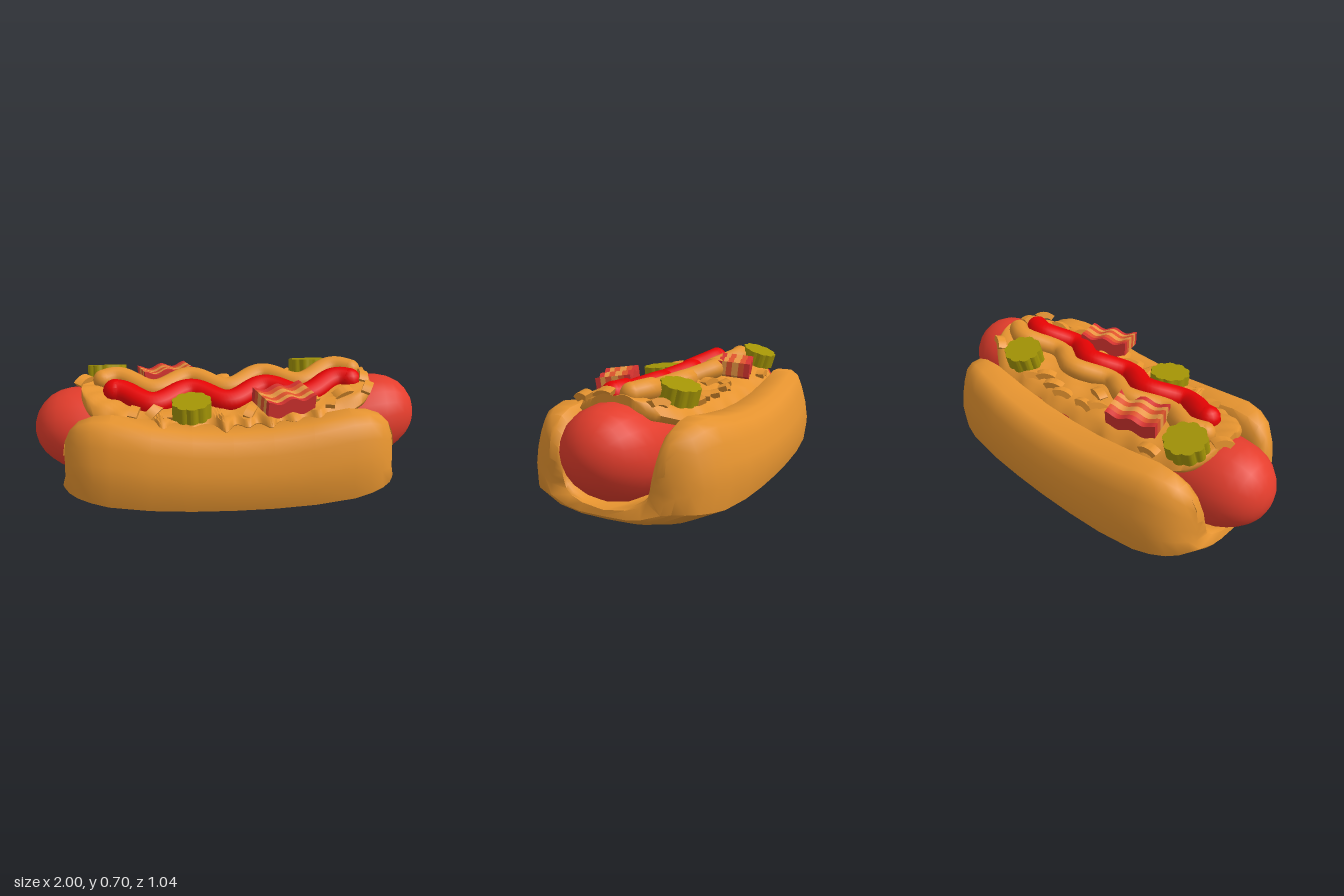
import * as THREE from 'three';
import { toCreasedNormals } from 'three/addons/utils/BufferGeometryUtils.js';

const mat = (name, color) => new THREE.MeshStandardMaterial({ name, color });

// Skin a row of closed rings lying along x; ends are closed by joining mirrored ring points.
function loft(rings, crease = 0.8) {
  const n = rings[0].length, pos = rings.flat(2), idx = [];
  for (let k = 0; k < rings.length - 1; k++) {
    for (let i = 0; i < n; i++) {
      const a = k * n + i, b = k * n + (i + 1) % n, c = a + n, d = b + n;
      idx.push(a, c, b, b, c, d);
    }
  }
  const last = (rings.length - 1) * n;
  for (let i = 0; i < n / 2 - 1; i++) {
    const p = i, q = i + 1, r = n - 2 - i, s = n - 1 - i;
    idx.push(p, q, r, p, r, s);
    idx.push(last + s, last + r, last + q, last + s, last + q, last + p);
  }
  const g = new THREE.BufferGeometry();
  g.setAttribute('position', new THREE.Float32BufferAttribute(pos, 3));
  g.setIndex(idx);
  return toCreasedNormals(g, crease);
}

// Bun: a U-shaped section, [x, half width, top, underside, trough]
const bunStations = [
  [0, 0.522, 0.475, 0.01, 0.06], [0.2, 0.519, 0.483, 0.01, 0.065], [0.4, 0.512, 0.508, 0.014, 0.08],
  [0.6, 0.492, 0.542, 0.026, 0.1], [0.69, 0.468, 0.538, 0.045, 0.115], [0.76, 0.435, 0.515, 0.066, 0.13],
  [0.81, 0.39, 0.47, 0.088, 0.14], [0.84, 0.335, 0.41, 0.108, 0.15], [0.853, 0.29, 0.34, 0.122, 0.152],
];
const outer = [[0, 0.01], [0.35, 0.02], [0.65, 0.08], [0.96, 0.225], [1, 0.45], [0.97, 0.63], [0.92, 0.8], [0.86, 0.94], [0.77, 1]];
const inner = [[0, 0], [0.11, 0.07], [0.175, 0.18], [0.205, 0.3], [0.215, 0.45], [0.222, 0.6], [0.232, 0.76], [0.25, 0.92], [0.28, 1]];

function bunGeometry() {
  const ring = ([x, w, top, low, trough]) => {
    // The upper lobes stop slightly short of the bottom lip
    const point = (y, z) => [x * (1 - 0.035 * THREE.MathUtils.smoothstep(y, 0.13, 0.22)), y, z];
    const out = outer.map(([u, v], i) => point(low + v * (top - low), i ? Math.max(u * w, inner[i][0] + 0.012) : 0));
    const inn = inner.map(([z, v]) => point(trough + v * (top - trough), z));
    const flip = ([a, b, c]) => [a, b, -c];
    return [
      ...out.slice(1).reverse().map(flip), ...out,
      ...inn.slice(1).reverse(), inn[0], ...inn.slice(1).map(flip),
    ];
  };
  const left = bunStations.slice(1).reverse().map(([x, ...r]) => [-x, ...r]);
  return loft([...left, ...bunStations].map(ring), 0.85);
}

// Sausage: rounded ends, bowed upward towards both tips
function sausageGeometry() {
  const rings = [], N = 30, S = 20;
  for (let k = 0; k <= N; k++) {
    const x = -Math.cos((k / N) * Math.PI);
    const e = Math.max(0, (Math.abs(x) - 0.7) / 0.3);
    const r = 0.23 * Math.pow(Math.max(0, 1 - Math.pow(e, 2.1)), 1 / 2.1);
    const y = 0.315 + 0.075 * Math.min(1, x * x * 1.25) + 0.02 * x;
    rings.push(Array.from({ length: S }, (_, i) => {
      const a = (i / S) * Math.PI * 2;
      return [x, y - r * Math.cos(a), r * Math.sin(a)];
    }));
  }
  return loft(rings, 1.2);
}

const cheeseY = (x, z) => 0.505 + 0.025 * x + 0.1 * x * x + 0.06 * Math.max(0, 1 - (z / 0.27) ** 2);

// Melted cheese bed whose front edge runs out into drips: [x, length]
const drips = [[-0.52, 0.03], [-0.33, 0.11], [-0.19, 0.04], [-0.03, 0.11], [0.08, 0.07], [0.19, 0.09], [0.31, 0.05], [0.43, 0.05]];
function cheeseGeometry() {
  const rings = [], N = 110, M = 18;
  for (let k = 0; k <= N; k++) {
    const x = -0.74 + (1.47 * k) / N;
    const fade = Math.sqrt(Math.max(0.02, 1 - Math.abs(x / 0.75) ** 8));
    const run = drips.reduce((sum, [c, l]) => sum + l * Math.exp(-(((x - c) / 0.036) ** 2)), 0);
    const front = (0.285 + run) * fade;
    const back = (-0.275 + 0.01 * Math.sin(x * 31)) * fade;
    const low = [], high = [];
    for (let i = 0; i <= M; i++) {
      const f = i / M, z = back + (front - back) * f;
      const round = Math.sqrt(Math.max(0, 1 - Math.abs(2 * f - 1) ** 8));
      const lumps = 0.009 * Math.sin(x * 34 + z * 20) * Math.sin(z * 36 + x * 9);
      const base = cheeseY(x, z) - 0.04 + 0.018 * THREE.MathUtils.smoothstep(z, 0.24, 0.32);
      low.push([x, base - (z < 0.25 ? 0.045 : 0.03) * round, z]);
      high.push([x, base + (0.04 + lumps) * round, z]);
    }
    rings.push([...low, ...high.reverse()]);
  }
  return loft(rings, 1);
}

// Pickle slice with a rim of rounded lobes
function pickleGeometry() {
  const pts = Array.from({ length: 100 }, (_, i) => {
    const a = (i / 100) * Math.PI * 2, r = 0.094 + 0.011 * Math.abs(Math.cos(a * 5));
    return new THREE.Vector2(r * Math.cos(a), r * 0.92 * Math.sin(a));
  });
  const g = new THREE.ExtrudeGeometry(new THREE.Shape(pts), { depth: 0.08, bevelEnabled: false });
  return toCreasedNormals(g.rotateX(-Math.PI / 2), 1);
}

// Small curved onion piece
function onionGeometry() {
  const s = new THREE.Shape();
  s.absarc(0, 0, 0.09, 0.95, 2.2, false);
  s.absarc(0, 0, 0.058, 2.2, 0.95, true);
  const g = new THREE.ExtrudeGeometry(s, { depth: 0.045, bevelEnabled: false, curveSegments: 6 });
  return toCreasedNormals(g.translate(0, -0.075, -0.022), 0.6);
}

// One lengthwise band of a wavy bacon rasher
function baconBand(width) {
  const up = [], down = [];
  for (let i = 0; i <= 24; i++) {
    const x = -0.13 + (0.26 * i) / 24, y = 0.011 * Math.cos(x * 48);
    up.push(new THREE.Vector2(x, y + 0.036));
    down.push(new THREE.Vector2(x, y - 0.036));
  }
  const s = new THREE.Shape([...down, ...up.reverse()]);
  return toCreasedNormals(new THREE.ExtrudeGeometry(s, { depth: width, bevelEnabled: false }), 0.7);
}

export function createModel() {
  const model = new THREE.Group();
  model.name = 'hotDog';
  const bread = mat('golden bread and cheese', 0xe5932f);
  const meat = mat('sausage red', 0xe43d2c);
  const red = mat('ketchup red', 0xee0303);
  const green = mat('pickle green', 0xa39405);
  const lean = mat('bacon lean', 0xd4332f);
  const fat = mat('bacon fat', 0xea9844);
  const mid = mat('bacon pink', 0xde522c);

  const add = (name, geo, material, parent = model) => {
    const m = new THREE.Mesh(geo, material);
    m.name = name;
    parent.add(m);
    return m;
  };

  add('bun', bunGeometry(), bread);
  // Shallow oval foot under the bun
  const foot = [[0, 0], [0.55, 0.002], [0.8, 0.01], [0.93, 0.025], [1, 0.044], [0.95, 0.055]].map(p => new THREE.Vector2(...p));
  add('bunFoot', new THREE.LatheGeometry(foot, 48).scale(0.62, 1, 0.31), bread);
  add('sausage', sausageGeometry(), meat);
  add('cheeseBed', cheeseGeometry(), bread);

  // Wavy squeezed sauces with rounded ends
  const sauce = (name, material, x0, x1, z0, slant, y0, r) => {
    const g = new THREE.Group();
    g.name = name;
    model.add(g);
    const pts = Array.from({ length: 41 }, (_, i) => {
      const x = x0 + ((x1 - x0) * i) / 40, c = Math.cos((x * Math.PI * 2) / 0.38);
      return new THREE.Vector3(x, y0 + 0.022 * x + 0.07 * x * x - 0.018 * c, z0 + slant * x + 0.045 * c);
    });
    add(name + 'Strand', new THREE.TubeGeometry(new THREE.CatmullRomCurve3(pts), 90, r, 12), material, g);
    for (const p of [pts[0], pts[40]]) add(name + 'End', new THREE.SphereGeometry(r, 14, 10), material, g).position.copy(p);
  };
  sauce('cheeseSauce', bread, -0.64, 0.66, -0.033, -0.015, 0.588, 0.053);
  sauce('ketchup', red, -0.57, 0.63, 0.108, -0.03, 0.562, 0.062);

  // Pickle slices
  const pickle = pickleGeometry();
  for (const [x, z, tilt, turn] of [[-0.63, -0.15, -0.3, 0.5], [0.46, -0.17, -0.25, 0], [-0.19, 0.25, 0.1, 1]]) {
    const p = add('pickleSlice', pickle, green);
    p.position.set(x, cheeseY(x, z) + 0.002, z);
    p.rotation.set(tilt, turn, 0);
  }

  // Bacon pieces, striped across their width
  const stripes = [[lean, 0.03], [mid, 0.03], [fat, 0.035], [mid, 0.03], [fat, 0.025], [lean, 0.025]];
  for (const [x, z, lift, turn, tilt] of [[-0.32, -0.14, 0.045, 0.28, -0.1], [0.26, 0.265, 0.07, 0.36, 0.12]]) {
    const b = new THREE.Group();
    b.name = 'baconPiece';
    let at = -0.0875;
    for (const [m, w] of stripes) {
      add('baconBand', baconBand(w), m, b).position.z = at;
      at += w;
    }
    b.position.set(x, cheeseY(x, z) + lift, z);
    b.rotation.set(tilt, turn, 0, 'YXZ');
    model.add(b);
  }

  // Scattered onion: x, z, turn, roll
  const onion = onionGeometry();
  for (const [x, z, turn, roll] of [
    [0.13, -0.21, 0.5, 0.2], [0.21, -0.2, 0.4, 0], [0.35, -0.22, 0.9, 0.3], [-0.03, -0.11, -0.3, 0], [-0.08, -0.17, 0.9, 0.3],
    [0.29, -0.18, 0.6, 0], [-0.48, -0.24, 0.1, 0], [0.66, -0.18, -0.4, 0.3], [-0.74, -0.04, 1, 0.2], [-0.47, 0.24, 1.4, 0.2],
    [-0.37, 0.23, 1.1, 0.6], [-0.31, 0.25, 1.6, 0], [0.1, 0.25, 1.2, 0.3], [0.4, 0.22, 0.7, 0.4], [0.5, 0.24, 1.3, 0],
    [0.57, 0.19, 0.4, 0.4], [0.7, 0.07, 1.5, 0.3], [-0.02, -0.2, 0.2, 0.3], [0.7, 0.18, 1.2, 0.3],
  ]) {
    const o = add('onionPiece', onion, bread);
    o.position.set(x, cheeseY(x, z) + 0.015, z);
    o.rotation.set(roll, turn, roll * 0.7, 'YXZ');
  }
  return model;
}
